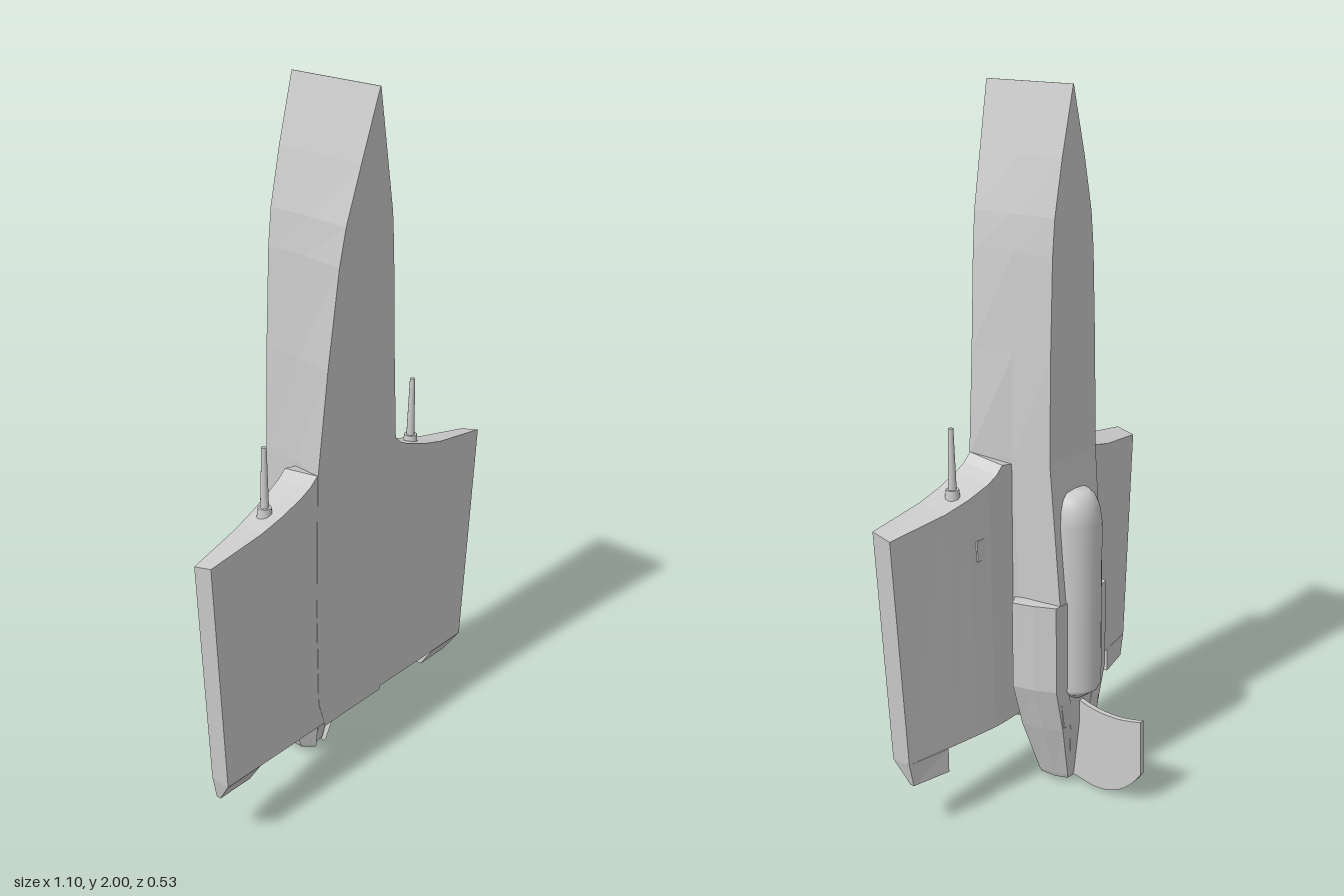
import * as THREE from 'three';

const mat = new THREE.MeshStandardMaterial({ color: 0xcccccc, flatShading: true });
const smooth = new THREE.MeshStandardMaterial({ color: 0xcccccc });
const dark = new THREE.MeshStandardMaterial({ color: 0xcccccc, side: THREE.DoubleSide });

// Closed solid through equal-length rings of [x, y, z]; winding is turned outward by signed volume.
function loft(rings) {
  const tris = [];
  const n = rings[0].length;
  for (let i = 0; i < rings.length - 1; i++) {
    for (let j = 0; j < n; j++) {
      const k = (j + 1) % n;
      const a = rings[i][j], b = rings[i][k], c = rings[i + 1][k], d = rings[i + 1][j];
      tris.push([a, b, c], [a, c, d]);
    }
  }
  const last = rings[rings.length - 1];
  for (let j = 1; j < n - 1; j++) {
    tris.push([rings[0][0], rings[0][j + 1], rings[0][j]], [last[0], last[j], last[j + 1]]);
  }
  let volume = 0;
  const v = (p) => new THREE.Vector3(...p);
  for (const [a, b, c] of tris) volume += v(a).dot(v(b).cross(v(c)));
  if (volume < 0) tris.forEach((t) => t.reverse());
  const g = new THREE.BufferGeometry();
  g.setAttribute('position', new THREE.Float32BufferAttribute(tris.flat(2), 3));
  g.computeVertexNormals();
  return g;
}

export function createModel() {
  const model = new THREE.Group();
  const add = (name, geometry, material = mat, x = 0, y = 0, z = 0) => {
    const m = new THREE.Mesh(geometry, material);
    m.name = name;
    m.position.set(x, y, z);
    model.add(m);
    return m;
  };

  // Hull: y, half width at back, half width at belly, back z, belly z
  const hull = [
    [2, 0.001, 0.001, -0.02, 0.265],
    [1.82, 0.048, 0.05, -0.02, 0.251],
    [1.67, 0.08, 0.09, -0.02, 0.24],
    [1.57, 0.09, 0.106, -0.02, 0.234],
    [1.3, 0.1, 0.133, -0.02, 0.223],
    [1.01, 0.105, 0.16, -0.02, 0.216],
    [0.6, 0.1, 0.16, -0.05, 0.216],
    [0.3, 0.095, 0.15, -0.05, 0.216],
    [0.21, 0.08, 0.12, -0.05, 0.215],
  ];
  add('hull', loft(hull.map(([y, b, f, zb, zf]) => {
    const mid = b + (f - b) * 0.25, zm = zb + (zf - zb) * 0.5;
    return [[-b, y, zb], [b, y, zb], [mid, y, zm], [f, y, zf], [-f, y, zf], [-mid, y, zm]];
  })));

  // Tail core tapering below the hull
  add('tailCore', loft([[0.3, 0.08, -0.05, 0.12], [0.2, 0.05, -0.05, 0.12], [0.03, 0.028, -0.03, 0.085]].map(
    ([y, w, zb, zf]) => [[-w, y, zb], [w, y, zb], [w * 1.1, y, 0.04], [w * 0.5, y, zf], [-w * 0.5, y, zf], [-w * 1.1, y, 0.04]])));

  // Dorsal pod
  const pod = [[0, 0.915], [0.04, 0.912], [0.058, 0.895], [0.07, 0.865], [0.077, 0.82], [0.077, 0.325], [0.07, 0.312], [0.035, 0.285], [0, 0.285]]
    .map(([r, y]) => new THREE.Vector2(r, y)).reverse();
  add('dorsalPod', new THREE.LatheGeometry(pod, 32), smooth, 0, 0, -0.026);

  // Tail fin
  const fin = new THREE.Shape();
  fin.moveTo(-0.02, 0.28);
  fin.lineTo(0.05, 0.27);
  fin.quadraticCurveTo(0.15, 0.235, 0.262, 0.268);
  fin.lineTo(0.265, 0.1);
  fin.quadraticCurveTo(0.2, 0.0, 0.1, 0.006);
  fin.lineTo(0.03, 0.02);
  fin.lineTo(-0.02, 0.03);
  const finGeo = new THREE.ExtrudeGeometry(fin, { depth: 0.016, bevelEnabled: false, curveSegments: 8 });
  finGeo.translate(0, 0, -0.008).rotateY(Math.PI / 2);
  add('tailFin', finGeo);

  // Tail nozzle
  add('tailNozzle', new THREE.CylinderGeometry(0.032, 0.02, 0.04, 16, 1, true), dark, 0, 0.02, 0.03);

  for (const s of [-1, 1]) {
    const side = s > 0 ? 'left' : 'right';

    // Wing: x, top y, back z
    const wing = [[0.08, 1.0, 0.1], [0.16, 1.015, 0.1], [0.185, 0.993, 0.1], [0.22, 0.975, 0.102], [0.29, 0.95, 0.112], [0.37, 0.93, 0.125], [0.55, 0.905, 0.155]];
    add(side + 'Wing', loft(wing.map(([x, y, z]) => {
      const xb = x * 0.927;
      return [[s * x, y, 0.214], [s * x, y - 0.015, z], [s * xb, 0.22, z], [s * xb, 0.22, 0.214]];
    })));

    // Wing flap
    add(side + 'Flap', loft([[0.38, 0.38, 0.127], [0.51, 0.495, 0.155]].map(([x, xb, z]) =>
      [[s * x, 0.222, 0.214], [s * x, 0.222, z], [s * xb, 0.15, z], [s * xb, 0.15, 0.168]])));

    // Gun with its base
    add(side + 'GunBase', new THREE.CylinderGeometry(0.018, 0.021, 0.03, 16), smooth, s * 0.3, 0.945, 0.158);
    add(side + 'GunBarrel', new THREE.CylinderGeometry(0.007, 0.012, 0.18, 12), smooth, s * 0.3, 1.04, 0.158);

    // Vent on the wing back and stub under the trailing edge
    add(side + 'Vent', new THREE.BoxGeometry(0.03, 0.06, 0.02), mat, s * 0.25, 0.78, 0.114);
    add(side + 'Stub', new THREE.BoxGeometry(0.075, 0.02, 0.025), mat, s * 0.24, 0.223, 0.16);

    // Engine fairing, lofted down into the tail
    const fairing = [
      [0.6, [0.07, -0.054], [0.118, -0.05], [0.144, 0.01], [0.16, 0.072], [0.122, 0.092]],
      [0.34, [0.07, -0.054], [0.118, -0.05], [0.144, 0.01], [0.158, 0.074], [0.12, 0.094]],
      [0.2, [0.03, -0.05], [0.082, -0.046], [0.106, 0.01], [0.116, 0.075], [0.05, 0.13]],
      [0.03, [0.012, -0.032], [0.038, -0.03], [0.052, 0.01], [0.054, 0.06], [0.022, 0.095]],
      [0.018, [0.012, -0.028], [0.034, -0.026], [0.047, 0.01], [0.048, 0.058], [0.02, 0.09]],
    ];
    add(side + 'Fairing', loft(fairing.map(([y, ...ring]) => ring.map(([x, z]) => [s * x, y, z]))));
  }
  return model;
}
